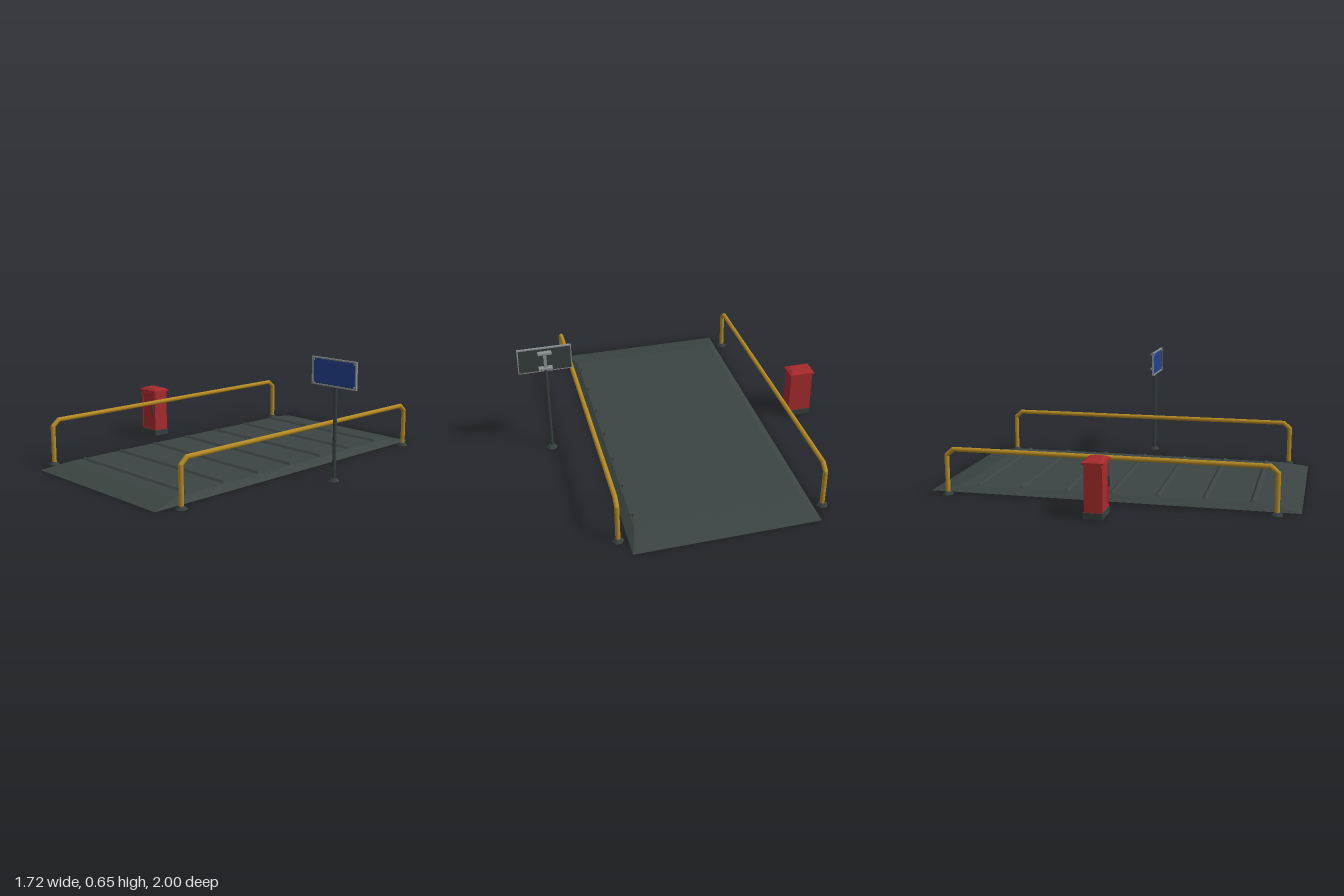
import * as THREE from 'three';

const mat = (name, color) => {
  const m = new THREE.MeshStandardMaterial({ color });
  m.name = name;
  return m;
};

export function createModel() {
  const deck = mat('dark deck steel', 0x3b4442);
  const dark = mat('dark metal', 0x363f3f);
  const yellow = mat('rail yellow', 0xb58a22);
  const red = mat('cabinet red', 0xa52a2c);
  const blue = mat('sign blue', 0x243f8c);
  const grey = mat('bracket grey', 0x8b9093);
  const model = new THREE.Group();

  const add = (parent, name, geometry, material, x = 0, y = 0, z = 0) => {
    const mesh = new THREE.Mesh(geometry, material);
    mesh.name = name;
    mesh.position.set(x, y, z);
    parent.add(mesh);
    return mesh;
  };
  const group = (name, x = 0, z = 0) => {
    const g = new THREE.Group();
    g.name = name;
    g.position.set(x, 0, z);
    model.add(g);
    return g;
  };
  const box = (w, h, d) => new THREE.BoxGeometry(w, h, d);
  // Box standing on y = 0 whose top face is shrunk to tw x td
  const taperedBox = (w, h, d, tw, td) => {
    const g = box(w, h, d).translate(0, h / 2, 0);
    const p = g.attributes.position;
    for (let i = 0; i < p.count; i++) {
      if (p.getY(i) > h / 2) p.setXYZ(i, Math.sign(p.getX(i)) * tw / 2, h, Math.sign(p.getZ(i)) * td / 2);
    }
    const flat = g.toNonIndexed();
    flat.computeVertexNormals();
    return flat;
  };
  // Six-sided tapered foot with corners towards +x and -x
  const foot = () => {
    const g = new THREE.CylinderGeometry(0.016, 0.032, 0.016, 6).toNonIndexed();
    g.computeVertexNormals();
    return g.rotateY(Math.PI / 6).translate(0, 0.008, 0);
  };

  // Low platform with sloped edges and cross ridges
  const platform = group('platform', -0.04);
  add(platform, 'deck', taperedBox(1, 0.028, 2, 0.91, 1.68), deck);
  for (let i = -3; i <= 3; i++) {
    add(platform, 'ridge', taperedBox(0.9, 0.012, 0.034, 0.88, 0.008), deck, 0, 0.027, i * 0.25);
  }

  // Handrails: straight tubes with rounded joints, chamfered at the corners
  const path = [[0, 0.88], [0.218, 0.88], [0.251, 0.842], [0.251, -0.842], [0.218, -0.88], [0, -0.88]]
    .map(([y, z]) => new THREE.Vector3(0, y, z));
  for (const x of [-0.59, 0.51]) {
    const rail = group('handrail', x);
    for (let i = 1; i < path.length; i++) {
      const a = path[i - 1], b = path[i];
      const tube = add(rail, 'railTube', new THREE.CylinderGeometry(0.013, 0.013, a.distanceTo(b), 10), yellow);
      tube.position.addVectors(a, b).multiplyScalar(0.5);
      tube.quaternion.setFromUnitVectors(new THREE.Vector3(0, 1, 0), b.clone().sub(a).normalize());
      if (i < path.length - 1) add(rail, 'railJoint', new THREE.SphereGeometry(0.013, 10, 8), yellow, b.x, b.y, b.z);
    }
    for (const z of [-0.88, 0.88]) add(rail, 'railFoot', foot(), dark, 0, 0, z);
  }

  // Cabinet with an open plinth, framed door, handle and bevelled cap
  const cabinet = group('cabinet', -0.79);
  for (const s of [-1, 1]) {
    add(cabinet, 'plinthSide', box(0.01, 0.032, 0.1), dark, s * 0.065, 0.016, 0);
    add(cabinet, 'plinthEnd', box(0.14, 0.032, 0.01), dark, 0, 0.016, s * 0.045);
    add(cabinet, 'doorStile', box(0.008, 0.234, 0.006), red, s * 0.061, 0.152, 0.046);
    add(cabinet, 'doorRail', box(0.13, 0.008, 0.006), red, 0, 0.152 + s * 0.113, 0.046);
  }
  add(cabinet, 'cabinetBody', box(0.134, 0.25, 0.09), red, 0, 0.157, 0);
  add(cabinet, 'cabinetCap', box(0.148, 0.01, 0.11), red, 0, 0.281, 0);
  add(cabinet, 'capBevel', taperedBox(0.148, 0.012, 0.11, 0.106, 0.07), red, 0, 0.286, 0);
  add(cabinet, 'doorHandle', box(0.007, 0.05, 0.006), dark, 0.046, 0.168, 0.055);
  for (const y of [0.148, 0.188]) add(cabinet, 'handleMount', box(0.006, 0.006, 0.01), dark, 0.046, y, 0.049);

  // Sign on a post, with a framed face and clamps behind it
  const sign = group('sign', 0.71);
  add(sign, 'signFoot', foot(), dark);
  add(sign, 'signPost', new THREE.CylinderGeometry(0.01, 0.01, 0.61, 10), dark, 0, 0.305, 0);
  add(sign, 'signBack', box(0.286, 0.136, 0.006), dark, 0, 0.578, 0.011);
  add(sign, 'signFace', box(0.276, 0.126, 0.004), blue, 0, 0.578, 0.016);
  for (const s of [-1, 1]) {
    add(sign, 'frameRail', box(0.296, 0.007, 0.012), grey, 0, 0.578 + s * 0.07, 0.014);
    add(sign, 'frameStile', box(0.007, 0.147, 0.012), grey, s * 0.1445, 0.578, 0.014);
    for (const t of [-1, 1]) {
      add(sign, 'cornerPlate', box(0.018, 0.018, 0.004), grey, s * 0.138, 0.578 + t * 0.0635, 0.0185);
    }
    add(sign, 'clamp', box(0.076, 0.01, 0.03), grey, 0, 0.58 + s * 0.046, -0.007);
  }
  add(sign, 'clampPlate', box(0.018, 0.09, 0.006), grey, 0, 0.58, -0.011);

  return model;
}
